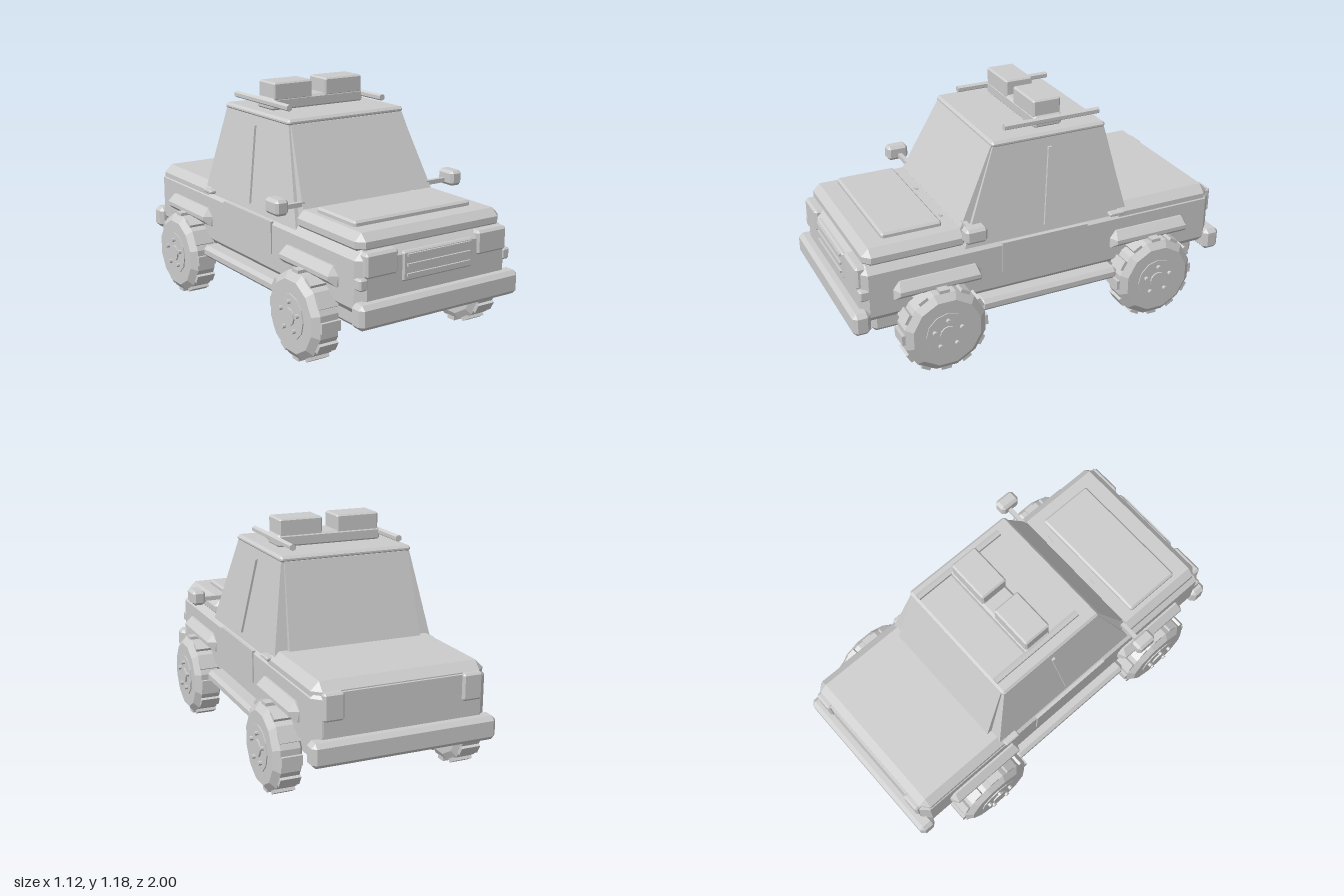
import * as THREE from 'three';
import { ConvexGeometry } from 'three/addons/geometries/ConvexGeometry.js';

const grey = new THREE.MeshStandardMaterial({ color: 0xcccccc });
grey.name = 'plainGrey';

function add(parent, name, geometry) {
  const mesh = new THREE.Mesh(geometry, grey);
  mesh.name = name;
  parent.add(mesh);
  return mesh;
}

// Faceted copy of a geometry, one normal per face
function faceted(geometry) {
  const g = geometry.index ? geometry.toNonIndexed() : geometry;
  g.computeVertexNormals();
  return g;
}

const hull = (pts) => new ConvexGeometry(pts.map((p) => new THREE.Vector3(...p)));

// Box with chamfered edges, given by its limits on each axis
function block(parent, name, [x0, x1], [y0, y1], [z0, z1], b = 0) {
  const c = [(x0 + x1) / 2, (y0 + y1) / 2, (z0 + z1) / 2];
  const h = [(x1 - x0) / 2, (y1 - y0) / 2, (z1 - z0) / 2];
  let geometry;
  if (b === 0) {
    geometry = new THREE.BoxGeometry(h[0] * 2, h[1] * 2, h[2] * 2);
  } else {
    const pts = [];
    for (const sx of [-1, 1]) for (const sy of [-1, 1]) for (const sz of [-1, 1]) {
      for (let axis = 0; axis < 3; axis++) {
        pts.push([sx, sy, sz].map((s, i) => s * (h[i] - (i === axis ? 0 : b))));
      }
    }
    geometry = hull(pts);
  }
  const mesh = add(parent, name, geometry);
  mesh.position.set(...c);
  return mesh;
}

// Tapered solid between a lower and an upper rectangle
function taper(parent, name, low, high) {
  const pts = [];
  for (const [y, x, z0, z1] of [low, high]) {
    for (const s of [-1, 1]) pts.push([s * x, y, z0], [s * x, y, z1]);
  }
  return add(parent, name, hull(pts));
}

// Wheel with its axle along x and its outer face towards +x
function makeWheel() {
  const wheel = new THREE.Group();
  const profile = [[0, -0.07], [0.175, -0.07], [0.21, -0.05], [0.21, 0.045], [0.175, 0.072], [0, 0.072]];
  const tyre = new THREE.LatheGeometry(profile.map((p) => new THREE.Vector2(...p)), 12, Math.PI / 12);
  tyre.rotateZ(-Math.PI / 2);
  add(wheel, 'tyre', faceted(tyre));
  for (let i = 0; i < 12; i++) {
    const a = (i * Math.PI) / 6;
    const lug = add(wheel, 'treadLug', new THREE.BoxGeometry(0.1, 0.02, 0.05));
    lug.position.set(-0.004, Math.cos(a) * 0.208, Math.sin(a) * 0.208);
    lug.rotation.x = a;
  }
  const disc = (name, r, x0, x1, sides) => {
    const g = new THREE.CylinderGeometry(r, r, x1 - x0, sides);
    g.rotateZ(-Math.PI / 2);
    const mesh = add(wheel, name, faceted(g));
    mesh.position.x = (x0 + x1) / 2;
    return mesh;
  };
  disc('rim', 0.11, 0.06, 0.077, 12);
  disc('hubCap', 0.042, 0.07, 0.085, 12);
  for (let i = 0; i < 5; i++) {
    const a = (i * Math.PI * 2) / 5;
    const bolt = disc('wheelBolt', 0.011, 0.07, 0.093, 8);
    bolt.position.y = Math.cos(a) * 0.072;
    bolt.position.z = Math.sin(a) * 0.072;
  }
  return wheel;
}

export function createModel() {
  const car = new THREE.Group();
  car.name = 'pickupTruck';

  // Body shell, chassis, hood and rear deck
  block(car, 'body', [-0.43, 0.43], [0.29, 0.59], [-0.95, 0.95], 0.04);
  block(car, 'chassis', [-0.39, 0.39], [0.215, 0.32], [-0.88, 0.89], 0.022);
  block(car, 'hood', [-0.41, 0.41], [0.56, 0.66], [0.4, 0.92], 0.035);
  block(car, 'hoodPanel', [-0.35, 0.315], [0.64, 0.685], [0.5, 0.8], 0.01);
  block(car, 'rearDeck', [-0.425, 0.425], [0.5, 0.62], [-0.94, -0.36], 0.04);

  // Cabin, glass and roof
  taper(car, 'cabin', [0.56, 0.415, -0.45, 0.43], [1.03, 0.332, -0.34, 0.24]);
  taper(car, 'windscreen', [0.58, 0.39, 0.41, 0.475], [1.02, 0.325, 0.2, 0.252]);
  taper(car, 'rearWindow', [0.54, 0.345, -0.485, -0.4], [1.02, 0.32, -0.352, -0.3]);
  block(car, 'roof', [-0.34, 0.34], [1.013, 1.045], [-0.352, 0.252], 0.012);
  for (const x of [-0.1, 0.22]) {
    const wiper = block(car, 'wiper', [x - 0.018, x + 0.018], [0.66, 0.668], [0.462, 0.475]);
    wiper.rotation.z = 0.25;
  }

  // Bumpers
  for (const s of [-1, 1]) {
    block(car, s > 0 ? 'frontBumper' : 'rearBumper', [-0.455, 0.455], [0.255, 0.37],
      s > 0 ? [0.912, 1] : [-1, -0.912], 0.02);
  }

  // Grille, tailgate
  block(car, 'grille', [-0.2, 0.2], [0.425, 0.562], [0.92, 0.958], 0.008);
  for (const y of [0.455, 0.5, 0.545]) {
    block(car, 'grilleSlat', [-0.18, 0.18], [y - 0.006, y + 0.006], [0.95, 0.967]);
  }
  block(car, 'tailgate', [-0.385, 0.385], [0.38, 0.575], [-0.953, -0.93]);

  // Roof rack bed
  block(car, 'rackBed', [-0.272, 0.272], [1.04, 1.105], [-0.15, 0], 0.012);

  for (const s of [-1, 1]) {
    const side = new THREE.Group();
    side.name = s > 0 ? 'leftSide' : 'rightSide';
    car.add(side);
    const xs = (a, b) => (s > 0 ? [a, b] : [-b, -a]);

    // Lamps
    block(side, 'headlight', xs(0.225, 0.402), [0.47, 0.585], [0.9, 0.96], 0.012);
    block(side, 'indicator', xs(0.385, 0.43), [0.42, 0.475], [0.9, 0.955], 0.008);
    block(side, 'tailLight', xs(0.29, 0.39), [0.45, 0.58], [-0.967, -0.9], 0.01);
    block(side, 'roofLamp', xs(0.038, 0.262), [1.09, 1.18], [-0.145, 0], 0.008);

    // Roof rack rail
    const rail = new THREE.CylinderGeometry(0.017, 0.017, 0.505, 6);
    rail.rotateX(Math.PI / 2);
    add(side, 'rackRail', faceted(rail)).position.set(s * 0.275, 1.082, -0.092);

    // Door mirror
    block(side, 'mirrorArm', xs(0.36, 0.5), [0.67, 0.692], [0.4, 0.422]);
    block(side, 'mirror', xs(0.478, 0.547), [0.657, 0.733], [0.365, 0.475], 0.014);

    // Door, handle, window pillar and sill
    block(side, 'door', xs(0.42, 0.437), [0.405, 0.565], [-0.215, 0.242]);
    block(side, 'doorHandle', xs(0.4, 0.442), [0.573, 0.592], [-0.425, -0.34], 0.005);
    const pillar = [];
    for (const [y, x, z] of [[0.6, 0.408, 0.003], [0.975, 0.342, -0.047]]) {
      for (const dx of [-0.008, 0.011]) for (const dz of [-0.009, 0.009]) {
        pillar.push([s * (x + dx), y, z + dz]);
      }
    }
    add(side, 'windowPillar', hull(pillar));
    block(side, 'sill', xs(0.36, 0.48), [0.238, 0.3], [-0.375, 0.375], 0.018);

    for (const z of [0.575, -0.57]) {
      // Wheel arch flare with slanted ends
      const flare = [];
      for (const [x, y, l] of [[0.4, 0.4, 0.22], [0.4, 0.49, 0.19], [0.44, 0.49, 0.19],
        [0.475, 0.43, 0.2], [0.475, 0.45, 0.2], [0.44, 0.4, 0.22], [0.43, 0.45, 0.22]]) {
        flare.push([s * x, y, z - l], [s * x, y, z + l]);
      }
      add(side, 'wheelArch', hull(flare));

      const wheel = makeWheel();
      wheel.name = z > 0 ? 'frontWheel' : 'rearWheel';
      wheel.position.set(s * 0.468, 0.218, z);
      if (s < 0) wheel.rotation.y = Math.PI;
      side.add(wheel);
    }
  }
  return car;
}
